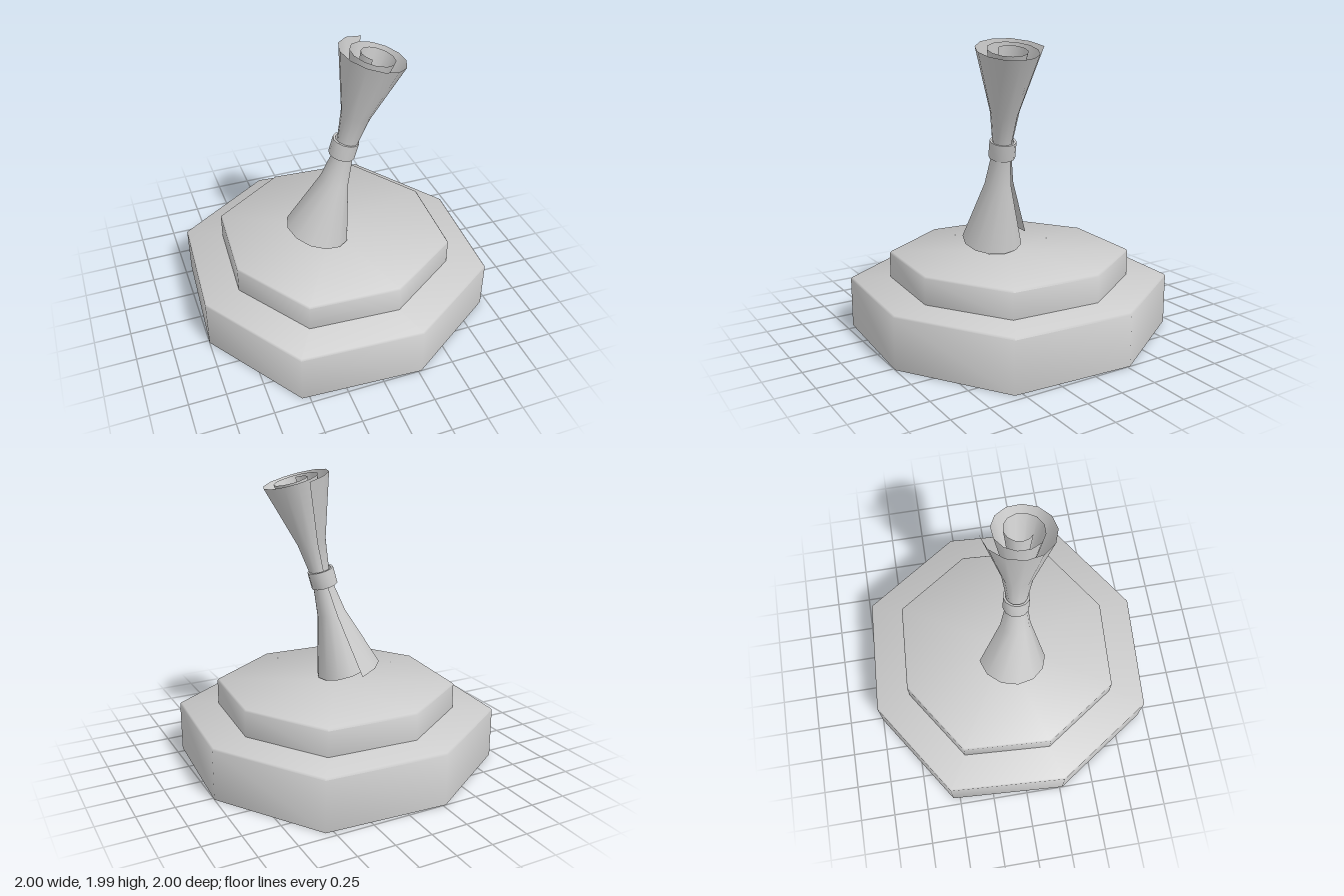
import * as THREE from 'three';
import { toCreasedNormals } from 'three/addons/utils/BufferGeometryUtils.js';

const material = new THREE.MeshStandardMaterial({ color: 0xcccccc });
const sheetMaterial = new THREE.MeshStandardMaterial({ color: 0xcccccc, side: THREE.DoubleSide });

// Two corners of the skewed octagon, repeated by quarter turns
const corners = [];
for (let q = 0; q < 4; q++) {
  for (const [x, z] of [[0.27, 1], [0.95, 0.55]]) {
    const a = (q * Math.PI) / 2;
    corners.push([x * Math.cos(a) + z * Math.sin(a), z * Math.cos(a) - x * Math.sin(a)]);
  }
}

// Octagonal slab with a slightly softened top edge
function slab(name, radius, bottom, top) {
  const profile = [
    [0, bottom], [radius, bottom], [radius, top - 0.012], [radius - 0.01, top], [0, top],
  ].map(([r, y]) => new THREE.Vector2(r, y));
  const geometry = new THREE.LatheGeometry(profile, 8);
  const p = geometry.attributes.position;
  for (let i = 0; i < p.count; i++) {
    const [x, z] = corners[Math.floor(i / profile.length) % 8];
    const point = profile[i % profile.length];
    p.setXYZ(i, x * point.x, point.y, z * point.x);
  }
  const mesh = new THREE.Mesh(toCreasedNormals(geometry, 1.0), material);
  mesh.name = name;
  return mesh;
}

// Sheet rolled into a spiral and pinched in the middle
function rolledSheet(length) {
  const rows = [[0, 1], [0.31, 0.44], [0.46, 0.31], [0.54, 0.31], [0.69, 0.44], [1, 1]];
  const turns = 2.4, segments = 30;
  const geometry = new THREE.PlaneGeometry(1, 1, segments, rows.length - 1);
  const p = geometry.attributes.position;
  for (let i = 0; i < p.count; i++) {
    const t = ((i % (segments + 1)) / segments) * turns;
    const [s, scale] = rows[Math.floor(i / (segments + 1))];
    const r = (0.255 - 0.073 * t) * scale;
    const a = t * Math.PI * 2;
    p.setXYZ(i, -r * Math.sin(a), (0.5 - s) * length, -r * Math.cos(a));
  }
  geometry.computeVertexNormals();
  const mesh = new THREE.Mesh(geometry, sheetMaterial);
  mesh.name = 'rolledSheet';
  return mesh;
}

// Thick ring that ties the roll
function band() {
  const inner = 0.074, outer = 0.09, h = 0.058;
  const profile = [[inner, -h], [outer, -h], [outer, h], [inner, h], [inner, -h]]
    .map(([r, y]) => new THREE.Vector2(r, y));
  const mesh = new THREE.Mesh(toCreasedNormals(new THREE.LatheGeometry(profile, 12), 0.9), material);
  mesh.name = 'band';
  mesh.position.set(-0.012, 0, -0.01);
  return mesh;
}

export function createModel() {
  const model = new THREE.Group();
  model.name = 'scrollOnPedestal';
  model.add(slab('lowerStep', 1, 0, 0.355), slab('upperStep', 0.75, 0.35, 0.54));

  // Tilted scroll hovering above the pedestal
  const bottom = new THREE.Vector3(-0.11, 0.6, 0.05);
  const top = new THREE.Vector3(0.235, 1.931, 0.135);
  const axis = top.clone().sub(bottom);
  const scroll = new THREE.Group();
  scroll.name = 'scroll';
  scroll.add(rolledSheet(axis.length()), band());
  scroll.position.copy(bottom).add(top).multiplyScalar(0.5);
  scroll.quaternion.setFromUnitVectors(new THREE.Vector3(0, 1, 0), axis.normalize());
  model.add(scroll);
  return model;
}
